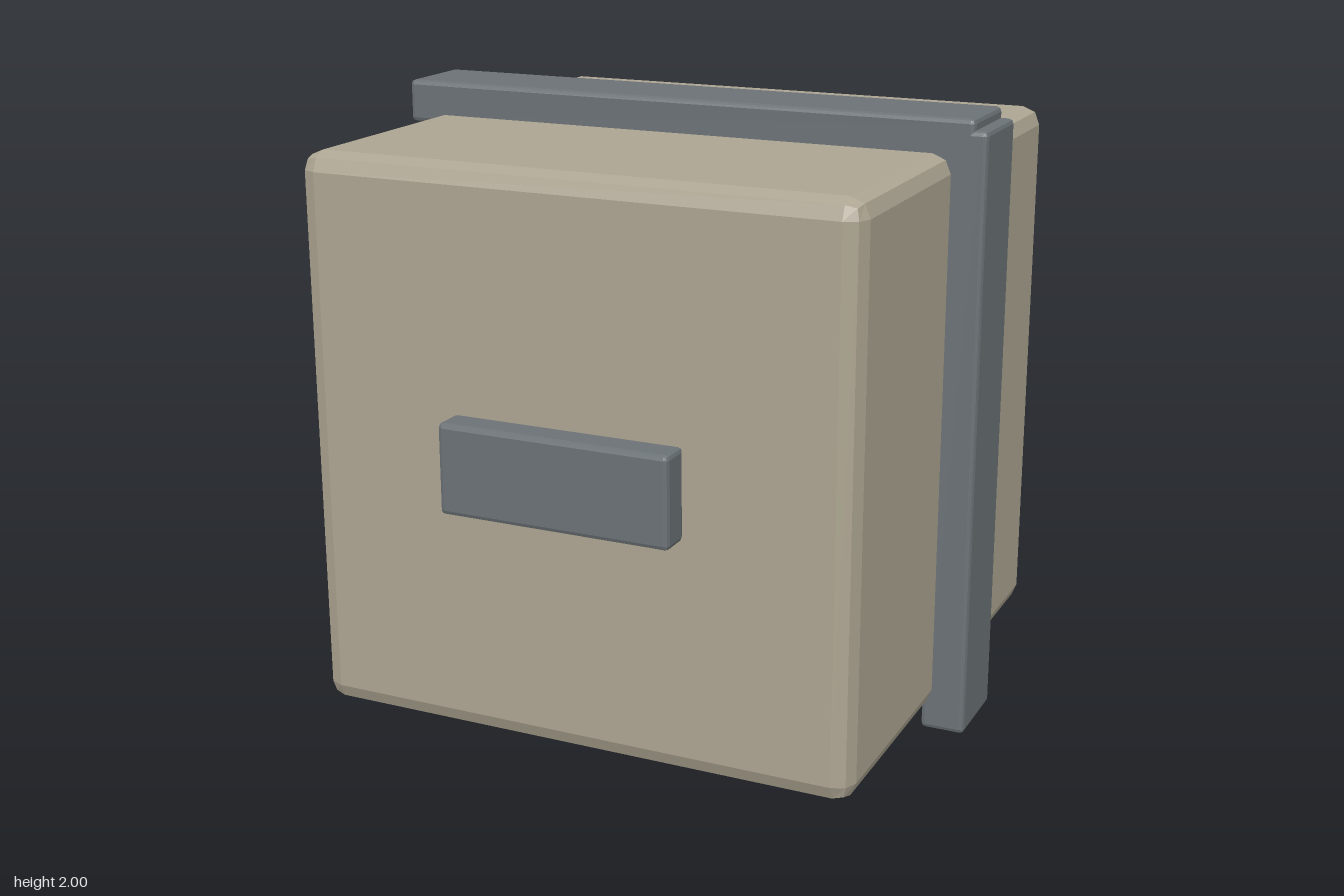
import * as THREE from 'three';
import { RoundedBoxGeometry } from 'three/addons/geometries/RoundedBoxGeometry.js';

// Box between two corners with a two-step bevel on every edge
function bevelBox(name, min, max, bevel, color) {
  const [w, h, d] = max.map((v, i) => v - min[i]);
  const material = new THREE.MeshStandardMaterial({ color, flatShading: true });
  const mesh = new THREE.Mesh(new RoundedBoxGeometry(w, h, d, 1, bevel), material);
  mesh.position.set(...max.map((v, i) => (v + min[i]) / 2));
  mesh.name = name;
  return mesh;
}

export function createModel() {
  const model = new THREE.Group();
  model.name = 'crate';
  const tan = 0xada592;
  const steel = 0x6b7276;

  model.add(
    // Main body
    bevelBox('body', [-0.93, 0.08, -0.96], [0.89, 1.89, 0.85], 0.06, tan),
    // Straps over the top and down the left side
    bevelBox('topStrap', [-1, 1.86, -0.2], [0.96, 2, 0.085], 0.015, steel),
    bevelBox('sideStrap', [0.855, 0, -0.2], [1, 1.965, 0.085], 0.015, steel),
    // Plate on the front face
    bevelBox('frontPlate', [-0.4, 0.84, 0.85], [0.36, 1.13, 0.96], 0.015, steel),
  );
  return model;
}
